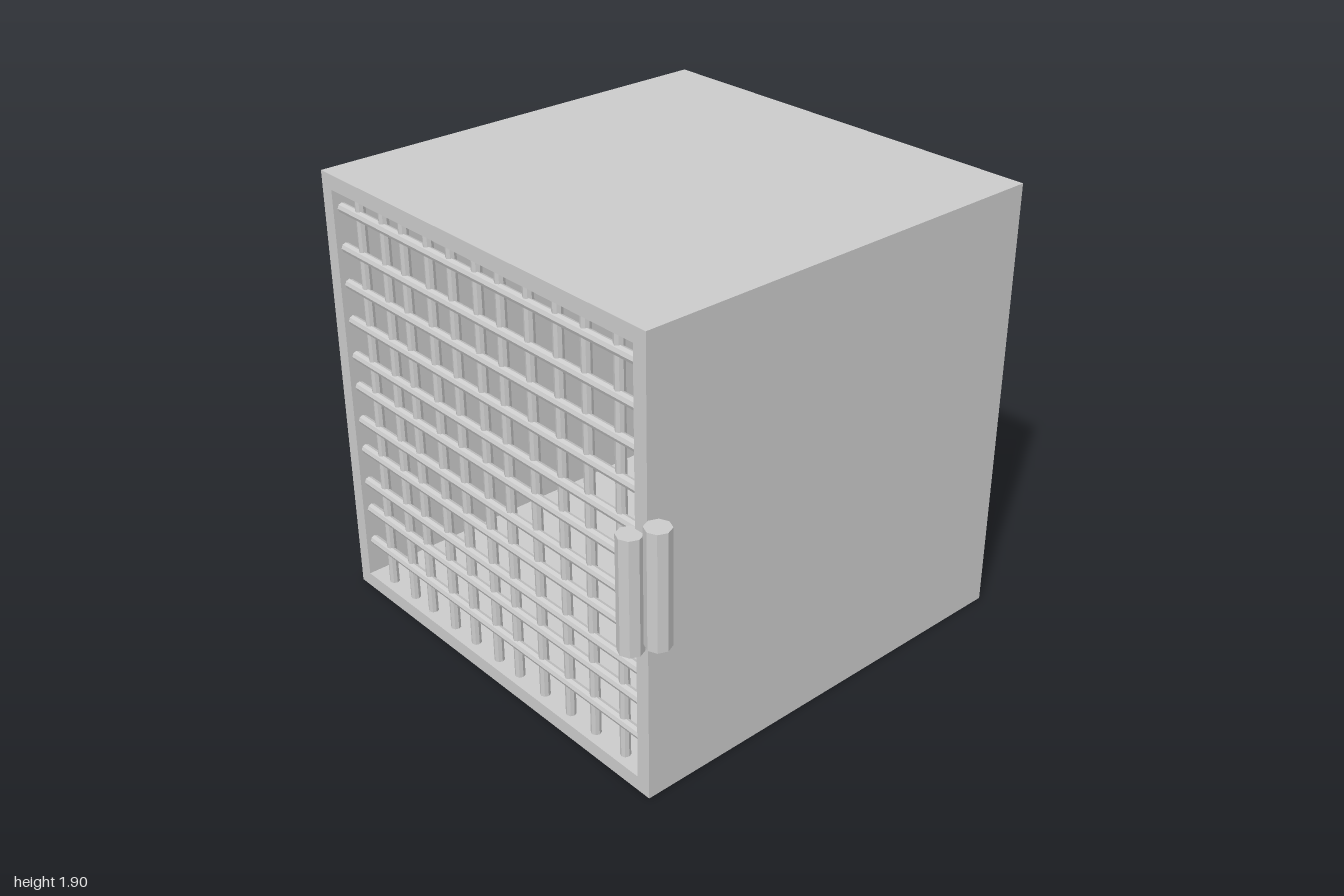
import * as THREE from 'three';

export function createModel() {
  const model = new THREE.Group();
  const mat = new THREE.MeshStandardMaterial({ color: 0xcccccc, flatShading: true });
  const add = (parent, name, geo, x, y, z) => {
    const mesh = new THREE.Mesh(geo, mat);
    mesh.name = name;
    mesh.position.set(x, y, z);
    parent.add(mesh);
    return mesh;
  };

  // Outer box and front opening
  const x0 = -1, x1 = 0.895, top = 1.9, back = -0.99, front = 0.905, wall = 0.063;
  const ix0 = x0 + wall, ix1 = x1 - wall, iy0 = wall, iy1 = top - wall;
  const cx = (x0 + x1) / 2, cy = top / 2;

  // Hollow shell, open at the front, with a closed back
  const rect = (T, l, r, b, t) => new T([[l, b], [r, b], [r, t], [l, t]].map(p => new THREE.Vector2(...p)));
  const outline = rect(THREE.Shape, x0, x1, 0, top);
  outline.holes.push(rect(THREE.Path, ix0, ix1, iy0, iy1));
  const depth = front - back - wall;
  add(model, 'caseWalls', new THREE.ExtrudeGeometry(outline, { depth, bevelEnabled: false }), 0, 0, back + wall);
  add(model, 'backPanel', new THREE.BoxGeometry(x1 - x0, top, wall), cx, cy, back + wall / 2);

  // Unevenly spaced lattice of eight-sided bars
  const lattice = new THREE.Group();
  lattice.name = 'frontLattice';
  model.add(lattice);
  const r = 0.021;
  const upright = new THREE.CylinderGeometry(r, r, iy1 - iy0, 8);
  const crossbar = new THREE.CylinderGeometry(r, r, ix1 - ix0, 8).rotateZ(Math.PI / 2);
  for (const x of [-0.82, -0.66, -0.53, -0.37, -0.227, -0.072, 0.064, 0.225, 0.385, 0.535, 0.706])
    add(lattice, 'verticalBar', upright, x, cy, 0.855);
  for (const y of [0.222, 0.382, 0.516, 0.674, 0.813, 0.97, 1.11, 1.27, 1.43, 1.586, 1.754])
    add(lattice, 'horizontalBar', crossbar, cx, y, 0.865);

  // Two octagonal hinge barrels at the front left corner
  const barrel = new THREE.CylinderGeometry(0.051, 0.051, 0.48, 8);
  add(model, 'frontHingeBarrel', barrel, 0.843, 0.9, 0.939);
  add(model, 'sideHingeBarrel', barrel, 0.946, 0.96, 0.902);

  return model;
}
